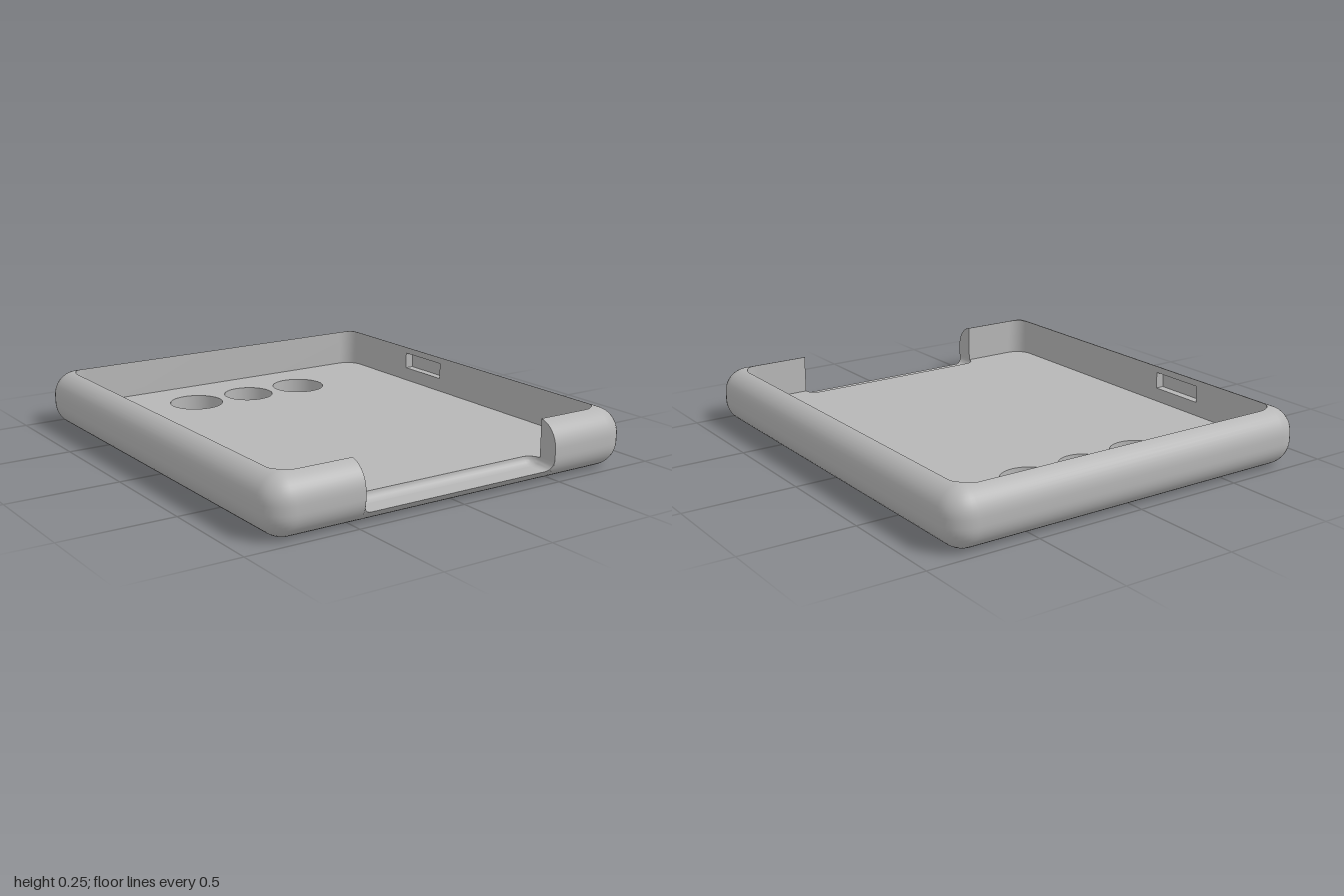
import * as THREE from 'three';
import { toCreasedNormals } from 'three/addons/utils/BufferGeometryUtils.js';

const W = 0.884, L = 1, R = 0.11, H = 0.255;        // outer half width, half length, edge radius, height
const FLOOR = 0.085, IN = { x: 0.8, back: -0.92, front: 0.91, r: 0.08 };
const NOTCH = { x: 0.472, back: 0.86, y: 0.05, r: 0.05, fillet: 0.035 };
const SLOT = { z: -0.305, y: 0.185, w: 0.27, h: 0.075, depth: 0.04 };
const HOLES = [[-0.285, 0.123], [0, 0.115], [0.285, 0.123]], HOLE_Z = -0.645;

const steps = (a, b, n) => Array.from({ length: n + 1 }, (_, i) => a + (b - a) * i / n);

// Distance of the outer side from the widest outline at height y
function insetAt(y) {
  const d = y < R ? R - y : Math.max(0, y - (H - R));
  return R - Math.sqrt(Math.max(0, R * R - d * d));
}

// Height of the rounded rim above a plan position
function rimHeight(x, z) {
  const qx = Math.abs(x) - (W - R), qz = Math.abs(z) - (L - R);
  const d = Math.hypot(Math.max(qx, 0), Math.max(qz, 0));
  return H - R + Math.sqrt(Math.max(0, R * R - d * d));
}

// Rounded rectangle path, open at the front notch
function ring(hx, back, front, r, y) {
  const pts = [[NOTCH.x, y, front]];
  const centres = [[hx - r, front - r], [hx - r, back + r], [r - hx, back + r], [r - hx, front - r]];
  centres.forEach(([cx, cz], k) => {
    for (const a of steps(Math.PI / 2 * (1 - k), -Math.PI / 2 * k, 8))
      pts.push([cx + r * Math.cos(a), y, cz + r * Math.sin(a)]);
  });
  pts.push([-NOTCH.x, y, front]);
  return pts;
}

// Surface through rows of points
function grid(rows, crease = 0.6) {
  const pos = [], v = p => new THREE.Vector3(...p);
  const tri = (a, b, c) => {
    if (new THREE.Triangle(v(a), v(b), v(c)).getArea() > 1e-9) pos.push(...a, ...b, ...c);
  };
  for (let i = 0; i + 1 < rows.length; i++)
    for (let j = 0; j + 1 < rows[i].length; j++) {
      const a = rows[i][j], b = rows[i][j + 1], c = rows[i + 1][j + 1], d = rows[i + 1][j];
      tri(a, b, c);
      tri(a, c, d);
    }
  const g = new THREE.BufferGeometry();
  g.setAttribute('position', new THREE.Float32BufferAttribute(pos, 3));
  return toCreasedNormals(g, crease);
}

// Flat horizontal plate from plan points, optionally with the round holes
function plate(points, y, holes) {
  const s = new THREE.Shape(points.map(([x, z]) => new THREE.Vector2(x, z)));
  if (holes) for (const [x, r] of HOLES) s.holes.push(new THREE.Path().absarc(x, HOLE_Z, r, 0, Math.PI * 2, true));
  return new THREE.ShapeGeometry(s, 24).rotateX(Math.PI / 2).translate(0, y, 0);
}

// U-shaped path around the notch floor at fillet angle a
function notchPath(a) {
  const f = NOTCH.fillet, o = f * (1 - Math.cos(a)), y = NOTCH.y + f * (1 - Math.sin(a));
  const r = NOTCH.r - o, cx = NOTCH.x - NOTCH.r, cz = NOTCH.back + NOTCH.r, front = L - insetAt(y);
  const pts = [[-NOTCH.x + o, y, front]];
  for (const t of steps(Math.PI, Math.PI * 1.5, 6)) pts.push([-cx + r * Math.cos(t), y, cz + r * Math.sin(t)]);
  for (const t of steps(Math.PI * 1.5, Math.PI * 2, 6)) pts.push([cx + r * Math.cos(t), y, cz + r * Math.sin(t)]);
  pts.push([NOTCH.x - o, y, front]);
  return pts;
}

export function createModel() {
  const model = new THREE.Group();
  const grey = new THREE.MeshStandardMaterial({ color: 0xb6b6b6, side: THREE.DoubleSide });
  grey.name = 'grey plastic';
  const add = (name, geometry) => {
    const m = new THREE.Mesh(geometry, grey);
    m.name = name;
    model.add(m);
    return m;
  };

  // Rounded outer wall, closing over the rim to the inner edge
  const outer = (phi, cy) => {
    const d = R * (1 - Math.cos(phi));
    return ring(W - d, d - L, L - d, R - d, cy + R * Math.sin(phi));
  };
  const rows = [
    ...steps(-Math.PI / 2, 0, 10).map(p => outer(p, R)),
    ...steps(0, Math.acos(1 - 0.08 / R), 9).map(p => outer(p, H - R)),
  ];
  const edge = rows[rows.length - 1];
  const inner = ring(IN.x, IN.back, IN.front, IN.r, 0);
  for (const t of steps(0.25, 1, 3))
    rows.push(inner.map(([x, , z], j) => {
      const px = edge[j][0] + (x - edge[j][0]) * t, pz = edge[j][2] + (z - edge[j][2]) * t;
      return [px, rimHeight(px, pz), pz];
    }));
  add('outerWall', grid(rows));

  // Inner wall: front stubs and back, then side panels with slots
  const top = rows[rows.length - 1], low = inner.map(([x, , z]) => [x, FLOOR, z]);
  for (const [a, b] of [[0, 10], [10, 28], [28, 38]])
    add('innerWall', grid([top.slice(a, b), low.slice(a, b)]));

  const zb = IN.back + IN.r, zf = IN.front - IN.r, yt = rimHeight(IN.x, 0);
  const { z: sz, y: sy, w, h, depth } = SLOT;
  for (const side of [1, -1]) {
    const rect = (x0, y0, x1, y1) => [[x0, y0], [x1, y0], [x1, y1], [x0, y1]].map(p => new THREE.Vector2(...p));
    const panel = new THREE.Shape(rect(-zf, FLOOR, -zb, yt));
    panel.holes.push(new THREE.Path(rect(-sz - w / 2, sy - h / 2, -sz + w / 2, sy + h / 2).reverse()));
    add('sideInnerWall', new THREE.ShapeGeometry(panel).rotateY(Math.PI / 2).translate(side * IN.x, 0, 0));
    // Recess behind the slot, open toward the tray
    const box = new THREE.BoxGeometry(depth, h, w);
    const faces = Array.from(box.index.array);
    box.setIndex(side > 0 ? [...faces.slice(0, 6), ...faces.slice(12)] : faces.slice(6));
    add('slotRecess', box).position.set(side * (IN.x + depth / 2), sy, sz);
  }

  // Cut ends of the front wall beside the notch
  const endTop = rimHeight(0, IN.front);
  for (const side of [1, -1])
    add('wallEnd', grid(steps(0, Math.PI / 2, 16).map(t => {
      const y = FLOOR + (endTop - FLOOR) * Math.sin(t);
      return [[side * NOTCH.x, y, Math.max(IN.front, L - insetAt(y))], [side * NOTCH.x, y, IN.front]];
    })));

  // Notch trough with filleted edge, and the lip below it
  const us = steps(0, Math.PI / 2, 6).map(notchPath);
  add('notchFillet', grid(us));
  add('notchFloor', plate(us[6].map(([x, , z]) => [x, z]), NOTCH.y));
  const right = us.map(u => u[u.length - 1]), left = us.map(u => u[0]).reverse();
  add('frontLip', grid([...right, ...left].map(([x, yMax]) =>
    steps(-Math.PI / 2, Math.asin((yMax - R) / R), 8).map(p =>
      [x, R + R * Math.sin(p), L - R + R * Math.cos(p)]))));

  // Base and tray floor
  const bx = W - R, bz = L - R;
  add('base', plate([[-bx, -bz], [bx, -bz], [bx, bz], [-bx, bz]], 0, true));
  const floorOutline = [...inner, ...us[0].slice(2, -2)].map(([x, , z]) => [x, z]);
  add('trayFloor', plate(floorOutline, FLOOR, true));

  // Bores of the three round holes
  for (const [x, r] of HOLES)
    add('holeBore', new THREE.CylinderGeometry(r, r, FLOOR, 48, 1, true)).position.set(x, FLOOR / 2, HOLE_Z);

  return model;
}
